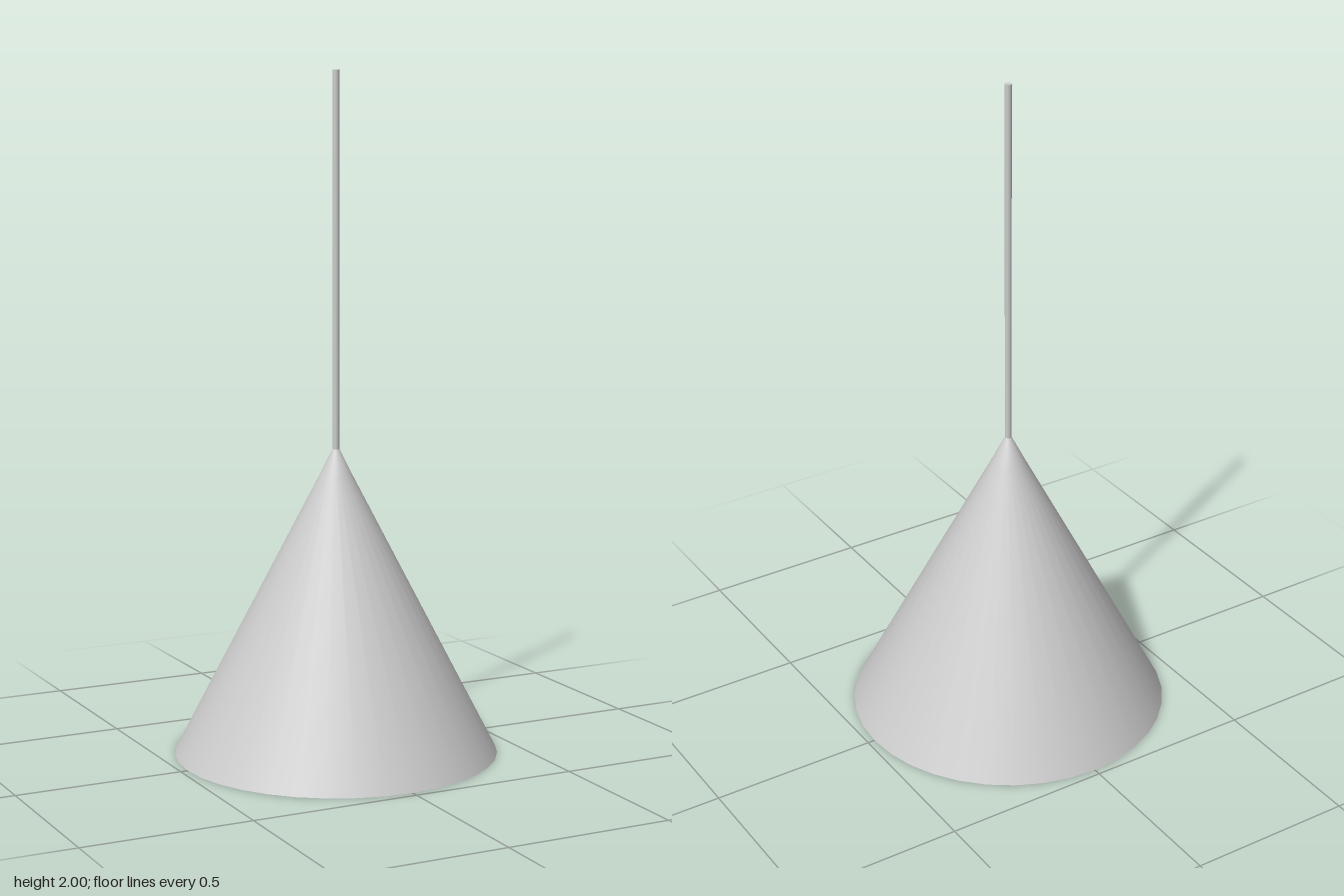
import * as THREE from 'three';

const SIDES = 36;
const material = new THREE.MeshStandardMaterial({ color: 0xcccccc });

// Turns a short [radius, height] profile into a named mesh
function turned(name, profile) {
  const points = profile.map(([r, y]) => new THREE.Vector2(r, y));
  const mesh = new THREE.Mesh(new THREE.LatheGeometry(points, SIDES), material);
  mesh.name = name;
  return mesh;
}

export function createModel() {
  const group = new THREE.Group();
  group.name = 'pendantLamp';

  // Thin conical shade: outside, inside and flat rim kept apart for crisp edges
  const shade = new THREE.Group();
  shade.name = 'shade';
  shade.add(
    turned('shadeOutside', [[0.478, 0], [0.05, 0.825], [0.01, 0.905], [0, 0.905]]),
    turned('shadeInside', [[0, 0.87], [0.01, 0.865], [0.457, 0]]),
    turned('shadeRim', [[0.457, 0], [0.478, 0]])
  );
  group.add(shade);

  // Slim suspension rod rising from the tip
  const bottom = 0.89, top = 2;
  const rod = new THREE.Mesh(new THREE.CylinderGeometry(0.01, 0.01, top - bottom, 16), material);
  rod.name = 'rod';
  rod.position.y = (top + bottom) / 2;
  group.add(rod);

  return group;
}
